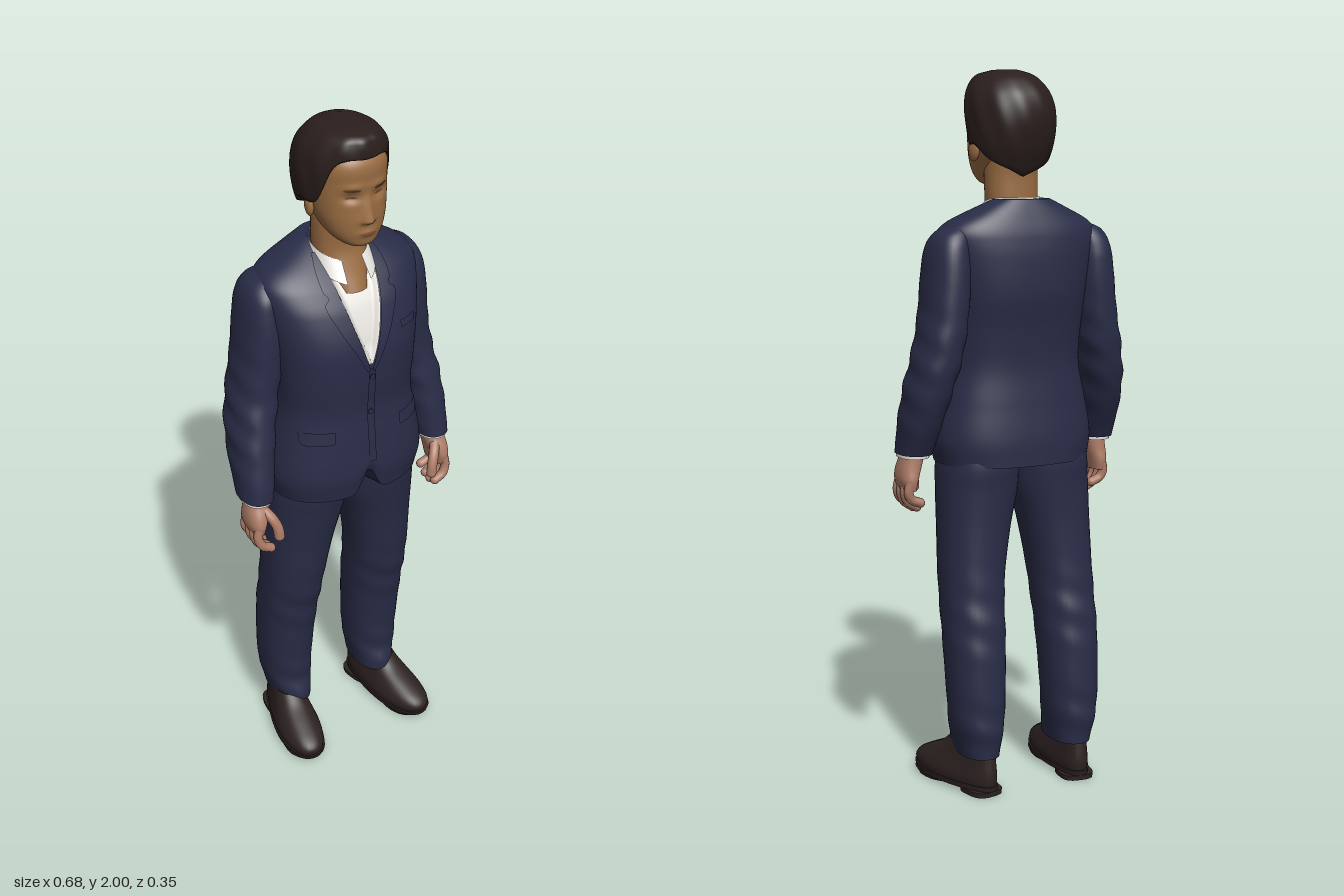
import * as THREE from 'three';

const mat = (name, color) => new THREE.MeshStandardMaterial({ name, color, side: THREE.DoubleSide });
const navy = mat('navy cloth', 0x292c47), skin = mat('face skin', 0x996c42), handSkin = mat('hand skin', 0xae7d68);
const hairBrown = mat('dark brown hair', 0x2b1f1d), leather = mat('brown leather', 0x2e2222);
const white = mat('white cotton', 0xe6e3de), brown = mat('brow brown', 0x5e4029), lipTone = mat('lip tone', 0x84543b);

const add = (group, name, geometry, material) => {
  const m = new THREE.Mesh(geometry, material);
  m.name = name;
  group.add(m);
  return m;
};
const { clamp, smoothstep } = THREE.MathUtils;
const gauss = (x, w) => Math.exp(-((x / w) ** 2));

// Smooth lookup in a table whose first column is the ascending key
function at(table, k) {
  const last = table.length - 1;
  let i = 0;
  while (i < last - 1 && k > table[i + 1][0]) i++;
  const P = table[i], Q = table[i + 1], A = table[Math.max(i - 1, 0)], B = table[Math.min(i + 2, last)];
  const h = Q[0] - P[0], u = clamp((k - P[0]) / h, 0, 1), u2 = u * u, u3 = u2 * u;
  return P.slice(1).map((_, c) => {
    const p = P[c + 1], q = Q[c + 1];
    const mp = (q - A[c + 1]) / (Q[0] - A[0]) * h, mq = (B[c + 1] - p) / (B[0] - P[0]) * h;
    return (2 * u3 - 3 * u2 + 1) * p + (u3 - 2 * u2 + u) * mp + (3 * u2 - 2 * u3) * q + (u3 - u2) * mq;
  });
}

// Surface through rows of points, optionally wrapped round and capped
function grid(rows, closed, caps) {
  const n = rows[0].length, pos = rows.flat().flatMap(p => [p.x, p.y, p.z]), idx = [];
  for (let r = 0; r < rows.length - 1; r++) for (let i = 0; i < (closed ? n : n - 1); i++) {
    const a = r * n + i, b = r * n + (i + 1) % n;
    idx.push(a, b, b + n, a, b + n, a + n);
  }
  if (caps) [rows[0], rows[rows.length - 1]].forEach((ring, top) => {
    const base = pos.length / 3, mid = new THREE.Vector3();
    ring.forEach(p => { mid.addScaledVector(p, 1 / n); pos.push(p.x, p.y, p.z); });
    pos.push(mid.x, mid.y, mid.z);
    for (let i = 0; i < n; i++) {
      const a = base + i, b = base + (i + 1) % n;
      idx.push(base + n, ...(top ? [a, b] : [b, a]));
    }
  });
  const g = new THREE.BufferGeometry();
  g.setAttribute('position', new THREE.Float32BufferAttribute(pos, 3));
  g.setIndex(idx);
  g.computeVertexNormals();
  return g;
}

// Point on a rounded section; table columns: y, centre x, front z, back z, half width
function ringPoint(secs, y, a, n = 2.3, s = 1) {
  const [cx, zf, zb, rx] = at(secs, y), e = 2 / n, si = Math.sin(a), co = Math.cos(a);
  return new THREE.Vector3(s * cx + rx * Math.sign(si) * Math.abs(si) ** e, y,
    (zf + zb) / 2 + (zf - zb) / 2 * Math.sign(co) * Math.abs(co) ** e);
}
function loft(secs, { seg = 40, rows = 40, n = 2.3, s = 1, mod } = {}) {
  const y0 = secs[0][0], y1 = secs[secs.length - 1][0], out = [];
  for (let r = 0; r <= rows; r++) out.push(Array.from({ length: seg }, (_, i) => {
    const a = i / seg * Math.PI * 2, p = ringPoint(secs, y0 + (y1 - y0) * r / rows, a, n, s);
    if (mod) mod(p, a);
    return p;
  }));
  return grid(out, true, true);
}
function frontZ(secs, x, y, n) {
  const [cx, zf, zb, rx] = at(secs, y);
  return (zf + zb) / 2 + (zf - zb) / 2 * Math.max(0, 1 - Math.abs((x - cx) / rx) ** n) ** (1 / n);
}
// Thin sheet laid on a surface; table columns: y, inner x, outer x
function patch(surf, table, off, s = 1, rows = 24, cols = 10) {
  const y0 = table[0][0], y1 = table[table.length - 1][0], out = [];
  for (let r = 0; r <= rows; r++) {
    const y = y0 + (y1 - y0) * r / rows, [a, b] = at(table, y), [l, h] = s > 0 ? [a, b] : [-b, -a];
    out.push(Array.from({ length: cols + 1 }, (_, i) => {
      const x = l + (h - l) * i / cols;
      return new THREE.Vector3(x, y, surf(x, y) + off);
    }));
  }
  return grid(out);
}

const JACKET = [[.93, 0, .155, -.16, .218], [1, 0, .165, -.16, .23], [1.1, 0, .16, -.15, .215], [1.2, 0, .152, -.142, .196],
  [1.3, 0, .16, -.15, .2], [1.4, 0, .158, -.165, .21], [1.5, 0, .125, -.165, .226], [1.555, 0, .09, -.158, .232], [1.578, 0, .07, -.152, .223],
  [1.6, 0, .048, -.144, .196], [1.63, 0, .014, -.132, .134], [1.655, 0, -.02, -.12, .08]];
const SLEEVE = [[.965, .295, .07, -.06, .046], [1.05, .287, .06, -.1, .054], [1.15, .272, .045, -.135, .06],
  [1.25, .25, .03, -.15, .062], [1.35, .232, .035, -.15, .06], [1.45, .222, .04, -.145, .058],
  [1.53, .215, .03, -.132, .052], [1.57, .2, .002, -.112, .044], [1.588, .18, -.02, -.09, .025]];
const LEG = [[.11, .145, .025, -.165, .055], [.14, .146, .024, -.168, .06], [.2, .148, .012, -.175, .071], [.4, .147, .03, -.168, .081],
  [.6, .14, .07, -.14, .087], [.75, .126, .09, -.132, .098], [.86, .112, .11, -.135, .109], [.93, .108, .122, -.14, .108], [1, .1, .12, -.13, .1]];
const HEAD = [[1.685, 0, .115, .04, .02], [1.695, 0, .133, .01, .045], [1.72, 0, .139, -.02, .071], [1.76, 0, .142, -.06, .089],
  [1.8, 0, .14, -.09, .098], [1.86, 0, .138, -.11, .103], [1.92, 0, .134, -.11, .1], [1.97, 0, .09, -.08, .07]];
const HAIR = [[1.7, 0, .05, -.075, .075], [1.75, 0, .08, -.1, .1], [1.8, 0, .1, -.12, .115], [1.87, 0, .128, -.132, .121],
  [1.93, 0, .139, -.12, .113], [1.97, 0, .138, -.088, .091], [1.99, 0, .124, -.055, .065], [2, 0, .085, -.02, .028]];
const HAIRLINE = [[0, 1.935], [.5, 1.935], [.75, 1.91], [.95, 1.82], [1.15, 1.8], [1.6, 1.8], [2.1, 1.76], [3.15, 1.715]];
// Half width of the jacket opening by height
const VEE = [[1.355, .006], [1.45, .036], [1.55, .06], [1.6, .068]];

const recess = (x, y) => {
  const [w] = at(VEE, y);
  return .016 * (1 - smoothstep(Math.abs(x), w - .014, w)) * clamp((y - 1.345) / .06, 0, 1);
};
const chest = (x, y) => frontZ(JACKET, x, y, 2.5) - recess(x, y);
function faceBump(x, y) {
  const t = clamp((1.84 - y) / .07, 0, 1), under = y < 1.77 ? gauss(1.77 - y, .009) : 1;
  const ax = Math.abs(x);
  return .022 * t * under * gauss(x, .008 + .009 * t) - .011 * gauss(ax - .04, .022) * gauss(y - 1.833, .014)
    + .004 * gauss(ax - .035, .03) * gauss(y - 1.862, .01) + .006 * gauss(x, .025) * gauss(y - 1.732, .011);
}
const face = (x, y) => frontZ(HEAD, x, y, 2.3) + faceBump(x, y);

function buildHead(g) {
  add(g, 'head', loft(HEAD, { seg: 96, rows: 80, mod: p => { if (p.z > .04) p.z += faceBump(p.x, p.y); } }), skin);
  add(g, 'neck', loft([[1.54, 0, .1, -.07, .055], [1.6, 0, .072, -.07, .066], [1.65, 0, .056, -.07, .072],
    [1.72, 0, .06, -.07, .073], [1.79, 0, .06, -.08, .07]]), skin);
  // Hair shell from the hairline up to the crown, with a rim underneath
  const rows = [];
  for (let r = -1; r <= 36; r++) rows.push(Array.from({ length: 96 }, (_, i) => {
    const a = i / 96 * Math.PI * 2, t = 1 - (1 - Math.max(r, 0) / 36) ** 2;
    const y0 = at(HAIRLINE, Math.min(a, 2 * Math.PI - a))[0], y = y0 + (2 - y0) * t;
    const p = ringPoint(HAIR, y, a, 2.1), k = r < 0 ? .82 : 1 + .014 * Math.sin(11 * a + 30 * y) * Math.sin(t * 3);
    p.x *= k; p.z *= k;
    return p;
  }));
  add(g, 'hair', grid(rows, true, true), hairBrown);
  for (const s of [1, -1]) {
    const ear = add(g, 'ear', new THREE.SphereGeometry(1, 20, 14), skin);
    ear.scale.set(.012, .031, .02);
    ear.position.set(s * .1, 1.785, .018);
    ear.rotation.set(-.15, s * .2, 0);
    add(g, 'eyebrow', patch(face, [[1.851, .022, .05], [1.855, .02, .062], [1.859, .03, .058]], .002, s, 4), brown);
    add(g, 'eye', patch(face, [[1.829, .034, .044], [1.832, .024, .056], [1.835, .032, .05]], .002, s, 4), brown);
  }
  add(g, 'mouth', patch(face, [[1.725, -.012, .012], [1.731, -.025, .025], [1.737, -.012, .012]], .001, 1, 6), lipTone);
}

function buildJacket(g) {
  // The opening is sunk, and the front hem lifts where the two edges part
  const shape = p => {
    if (p.z < 0) return;
    p.z -= recess(p.x, p.y);
    p.y += .08 * gauss(p.x - .005, .028) * clamp((1.06 - p.y) / .13, 0, 1);
  };
  add(g, 'jacket body', loft(JACKET, { seg: 160, rows: 100, n: 2.5, mod: shape }), navy);
  add(g, 'shirt front', patch(chest, VEE.map(([y, w]) => [y, -w, w]), .005, 1, 40, 28), white);
  add(g, 'shirt placket', patch(chest, [[1.37, -.005, .008], [1.59, -.009, .011]], .008), white);
  add(g, 'front edge', patch(chest, [[1.04, -.002, .02], [1.34, -.006, .016]], .004), navy);
  const lapel = [[1.335, .002, .012], [1.4, .021, .046], [1.46, .039, .078], [1.53, .057, .106], [1.545, .06, .09],
    [1.558, .062, .1], [1.6, .068, .1], [1.635, .066, .088]];
  for (const s of [1, -1]) {
    add(g, 'lapel', patch(chest, lapel, .008, s, 50), navy);
    add(g, 'pocket flap', patch(chest, [[1.122, .105, .178], [1.13, .1, .184], [1.16, .1, .184]], .006, s), navy);
  }
  add(g, 'breast pocket', patch(chest, [[1.425, .105, .16], [1.445, .105, .16]], .004), navy);
  for (const y of [1.315, 1.2]) {
    const b = add(g, 'jacket button', new THREE.CylinderGeometry(.008, .008, .006, 16), navy);
    b.rotation.x = Math.PI / 2;
    b.position.set(.005, y, chest(0, y) + .005);
  }
  // Open shirt collar round the neck, dropping to a point on each side in front
  const rows = [0, .5, 1].map(t => Array.from({ length: 49 }, (_, i) => {
    const a = .4 + (2 * Math.PI - .8) * i / 48, c = Math.cos(a), f = ((1 + c) / 2) ** 2;
    return new THREE.Vector3((.088 - .012 * t) * Math.sin(a), 1.62 - .052 * f + t * (.04 + .014 * f),
      -.008 + (c > 0 ? .122 - .046 * t : .09) * c);
  }));
  add(g, 'shirt collar', grid(rows), white);
}

function buildArm(g, s) {
  const swing = s > 0 ? 0 : .04;
  const shift = p => { p.z += swing * clamp((1.5 - p.y) / .5, 0, 1); };
  const fold = (p, a) => {
    p.x += s * .003 * Math.sin(p.y * 70 + 2 * a) * gauss(p.y - 1.2, .15);
    shift(p);
  };
  add(g, 'sleeve', loft(SLEEVE, { rows: 70, s, mod: fold }), navy);
  add(g, 'shirt cuff', loft([[.955, .296, .064, -.048, .041], [.985, .295, .062, -.05, .041]], { s, rows: 2, mod: shift }), white);
  const hand = new THREE.Group();
  hand.name = 'hand';
  hand.position.z = swing;
  g.add(hand);
  add(hand, 'palm', loft([[.862, .308, .068, -.025, .018], [.89, .309, .076, -.03, .026], [.92, .304, .07, -.026, .031],
    [.95, .298, .055, -.024, .032], [.975, .296, .045, -.025, .03]], { s, rows: 20 }), handSkin);
  const finger = (name, r, pts) => {
    const curve = new THREE.CatmullRomCurve3(pts.map(p => new THREE.Vector3(s * p[0], p[1], p[2])));
    add(hand, name, new THREE.TubeGeometry(curve, 12, r, 10), handSkin);
    add(hand, name + ' tip', new THREE.SphereGeometry(r, 10, 8), handSkin).position.copy(curve.getPoint(1));
  };
  [-.016, .01, .036, .061].forEach((z, i) => {
    const d = [.02, .004, 0, .008][i];
    finger('finger', .0135, [[.312, .89, z], [.318, .855, z + .003], [.308, .825 + d * .6, z + .006], [.282, .806 + d, z + .006]]);
  });
  finger('thumb', .015, [[.292, .935, .045], [.275, .91, .068], [.264, .88, .078], [.261, .855, .08]]);
}

function buildLeg(g, s) {
  const fold = (p, a) => {
    if (Math.cos(a) > 0) p.z += .006 * gauss(Math.sin(a), .2);
    p.z += .003 * Math.sin(p.y * 60 + 2 * a) * (gauss(p.y - .5, .1) + gauss(p.y - .2, .07));
  };
  add(g, 'trouser leg', loft(LEG, { rows: 80, s, mod: fold }), navy);
  const shoe = new THREE.Group();
  shoe.name = 'shoe';
  shoe.position.set(s * .167, 0, 0);
  shoe.rotation.y = s > 0 ? .2 : -.13;
  g.add(shoe);
  // Narrower towards the heel
  const taper = p => { p.x *= .78 + .24 * smoothstep(p.z, -.13, .08); };
  add(shoe, 'shoe upper', loft([[.025, 0, .172, -.162, .063], [.045, 0, .174, -.165, .065], [.065, 0, .155, -.165, .062],
    [.09, 0, .105, -.162, .056], [.115, 0, .05, -.158, .052], [.14, 0, .015, -.15, .048]], { rows: 24, mod: taper }), leather);
  add(shoe, 'sole', loft([[.012, 0, .172, -.165, .065], [.028, 0, .178, -.168, .068]], { rows: 2, mod: taper }), leather);
  add(shoe, 'sole front', loft([[0, 0, .15, 0, .057], [.014, 0, .17, -.02, .062]], { rows: 2 }), leather);
  add(shoe, 'heel', loft([[0, 0, -.05, -.165, .048], [.014, 0, -.05, -.166, .049]], { rows: 2, n: 3 }), leather);
}

export function createModel() {
  const model = new THREE.Group();
  model.name = 'man in suit';
  const part = (name, build, s) => {
    const g = new THREE.Group();
    g.name = name;
    model.add(g);
    build(g, s);
  };
  part('head group', buildHead);
  part('jacket', buildJacket);
  for (const [side, s] of [['left', 1], ['right', -1]]) {
    part(side + ' arm', buildArm, s);
    part(side + ' leg', buildLeg, s);
  }
  return model;
}
